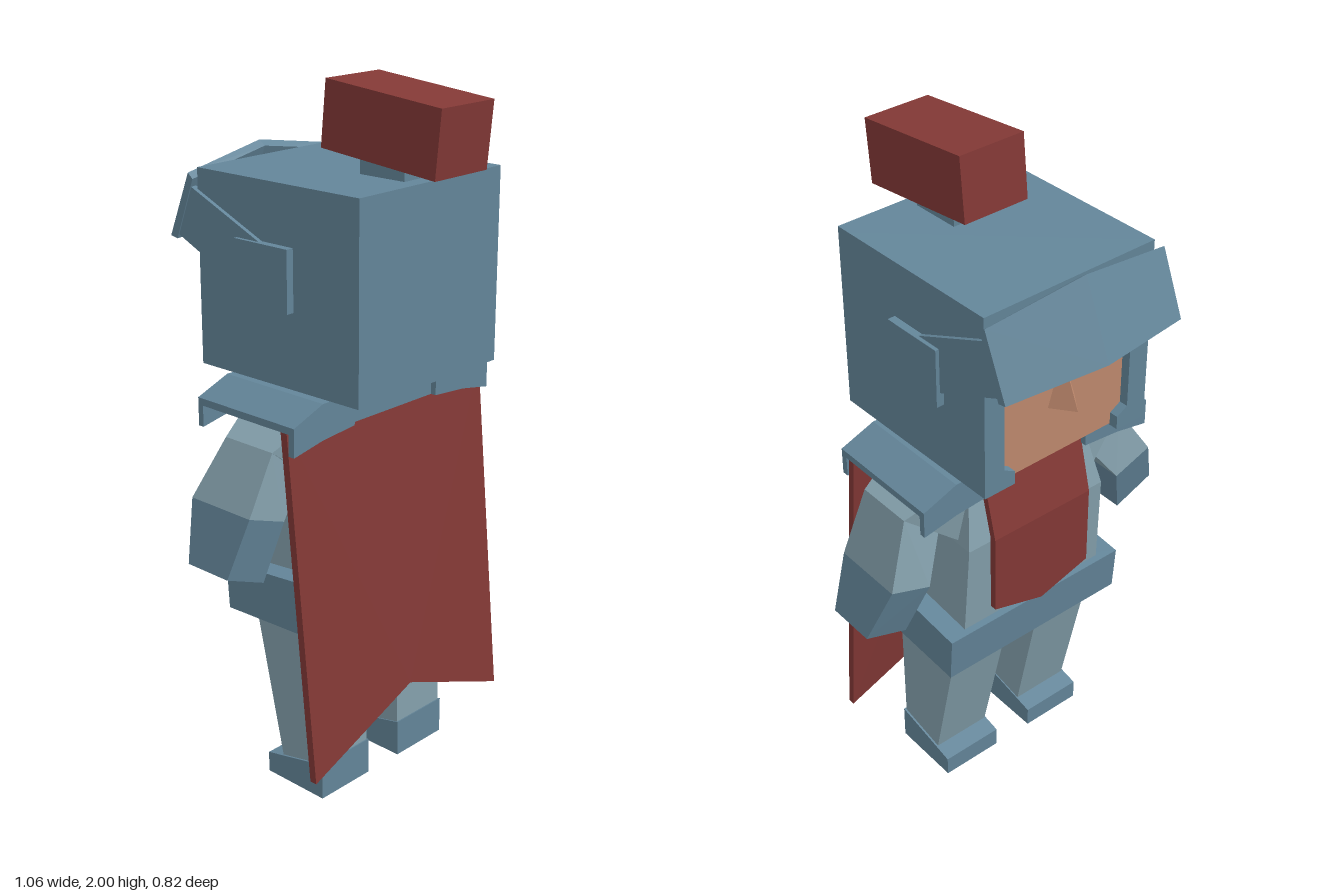
import * as THREE from 'three';
import { ConvexGeometry } from 'three/addons/geometries/ConvexGeometry.js';

const mat = (color) => new THREE.MeshStandardMaterial({ color, flatShading: true, side: THREE.DoubleSide });
const armour = mat(0x64869a), cloth = mat(0x86a2ae), red = mat(0x843936), skin = mat(0xc08a6e);

export function createModel() {
  const model = new THREE.Group();
  model.name = 'soldier';
  const body = new THREE.Group();
  body.name = 'body';
  body.position.x = 0.01;
  const head = new THREE.Group();
  head.name = 'head';
  head.position.x = 0.008;
  head.rotation.y = 0.015;
  model.add(body, head);

  const add = (parent, name, geometry, material) => {
    const mesh = new THREE.Mesh(geometry, material);
    mesh.name = name;
    parent.add(mesh);
    return mesh;
  };
  // Box given by its minimum and maximum corners
  const box = (parent, name, material, x0, x1, y0, y1, z0, z1) => {
    const mesh = add(parent, name, new THREE.BoxGeometry(x1 - x0, y1 - y0, z1 - z0), material);
    mesh.position.set((x0 + x1) / 2, (y0 + y1) / 2, (z0 + z1) / 2);
    return mesh;
  };
  // Faceted convex solid through corner points
  const hull = (parent, name, material, points) =>
    add(parent, name, new ConvexGeometry(points.map((p) => new THREE.Vector3(...p))), material);
  // Side profile of [z, y] points spanned from x0 to x1
  const slab = (x0, x1, profile) => [x0, x1].flatMap((x) => profile.map(([z, y]) => [x, y, z]));
  // Horizontal rectangle of corners
  const rect = (x0, x1, y, z0, z1) => [[x0, y, z0], [x1, y, z0], [x0, y, z1], [x1, y, z1]];
  // Arm section: outer and inner [x, y] points, each at both depths
  const section = (s, [ox, oy], [ix, iy], z0, z1) =>
    [[s * ox, oy, z0], [s * ox, oy, z1], [s * ix, iy, z0], [s * ix, iy, z1]];

  // Torso, neck, collar and belt
  hull(body, 'torso', cloth, [
    ...rect(-0.25, 0.25, 0.58, -0.14, 0.14),
    ...rect(-0.24, 0.24, 0.95, -0.16, 0.15),
    ...rect(-0.2, 0.2, 1.16, -0.11, 0.14),
  ]);
  box(body, 'neck', armour, -0.11, 0.11, 1.15, 1.24, -0.04, 0.08);
  box(body, 'collar', armour, -0.17, 0.17, 1.12, 1.19, -0.1, 0.175);
  hull(body, 'belt', armour, slab(-0.31, 0.31, [[0.19, 0.535], [0.165, 0.69], [-0.165, 0.66], [-0.155, 0.52]]));

  for (const s of [1, -1]) {
    const side = s > 0 ? 'left' : 'right';
    // Legs and feet
    hull(body, side + 'Leg', cloth, [
      ...rect(s * 0.06, s * 0.255, 0.6, -0.12, 0.15),
      ...rect(s * 0.068, s * 0.252, 0.05, 0, 0.152),
    ]);
    hull(body, side + 'Foot', armour,
      slab(s * 0.064, s * 0.258, [[0.157, 0], [0.157, 0.11], [0.0, 0.062], [-0.06, 0.062], [-0.06, 0]]));

    // Arms, the right one raised a little
    const lift = s > 0 ? 0 : 0.035, out = s > 0 ? 0 : 0.02;
    const shoulder = section(s, [0.22, 1.165], [0.2, 0.93], -0.12, 0.145);
    const upper = section(s, [0.385, 1.08], [0.27, 1.0], -0.07, 0.105);
    const wrist = section(s, [0.46 + out, 0.89 + lift], [0.335 + out, 0.845 + lift], -0.105, 0.115);
    const tip = section(s, [0.52 + out, 0.73 + lift], [0.39 + out, 0.685 + lift * 0.8], -0.06, 0.09);
    hull(body, side + 'Shoulder', cloth, [...shoulder, ...upper]);
    hull(body, side + 'Arm', cloth, [...upper, ...wrist]);
    hull(body, side + 'Hand', armour, [...wrist, ...tip]);

    // Shoulder guards: a bent top plate with hanging front and back flaps
    const guard = new THREE.Group();
    guard.name = side + 'ShoulderGuard';
    body.add(guard);
    const stations = [[0.165, 1.21, 1.12], [0.285, 1.21, 1.11], [0.392, 1.17, 1.09]];
    for (let i = 0; i < 2; i++) {
      const pair = stations.slice(i, i + 2);
      hull(guard, 'topPlate', armour, pair.flatMap(([x, y]) =>
        [[s * x, y, -0.165], [s * x, y, 0.19], [s * x, y - 0.02, -0.165], [s * x, y - 0.02, 0.19]]));
      for (const [z0, z1] of [[-0.168, -0.15], [0.172, 0.192]]) {
        hull(guard, 'flap', armour, pair.flatMap(([x, y, low]) =>
          [[s * x, y, z0], [s * x, y, z1], [s * x, low, z0], [s * x, low, z1]]));
      }
    }

    // Cape half, falling to an outer point with a notch at the centre
    const capeRow = (x, y) => {
      const z = 0.15 + (1.16 - y) * 0.115 - Math.max(0, 0.33 - y) * 0.1;
      return [[s * x, y, z - 0.009], [s * x, y, z + 0.013]];
    };
    hull(body, side + 'Cape', red,
      [...capeRow(0, 1.16), ...capeRow(0.39, 1.16), ...capeRow(0, 0.31), ...capeRow(0.39, 0.155)]);
  }

  // Chest cloth with a shallow pointed hem
  hull(body, 'chestClothTop', red, slab(-0.17, 0.17, [[-0.115, 1.17], [-0.135, 1.17], [-0.185, 0.97], [-0.165, 0.97]]));
  hull(body, 'chestClothFront', red, [-0.185, -0.165].flatMap((z) =>
    [[-0.17, 0.97, z], [0.17, 0.97, z], [-0.17, 0.72, z], [0.17, 0.72, z], [0, 0.67, z]]));

  // Helmet: shell open at the face, closed at the back
  const shell = new THREE.Shape([
    [-0.28, 1.22], [-0.18, 1.22], [-0.18, 1.26], [-0.215, 1.28], [-0.215, 1.65],
    [0.215, 1.65], [0.215, 1.28], [0.18, 1.26], [0.18, 1.22], [0.28, 1.22],
    [0.28, 1.76], [-0.28, 1.76],
  ].map(([x, y]) => new THREE.Vector2(x, y)));
  const shellGeometry = new THREE.ExtrudeGeometry(shell, { depth: 0.53, bevelEnabled: false });
  shellGeometry.translate(0, 0, -0.267);
  add(head, 'helmetShell', shellGeometry, armour);
  box(head, 'helmetBack', armour, -0.28, 0.28, 1.22, 1.76, 0.26, 0.305);
  box(head, 'face', skin, -0.225, 0.225, 1.225, 1.7, -0.24, 0.27);
  hull(head, 'nose', skin, [[0, 1.53, -0.238], [-0.05, 1.38, -0.235], [0.05, 1.38, -0.235], [0, 1.38, -0.303]]);

  // Raised visor with its side arms and hinges
  const visorMiddle = [[-0.295, 1.775], [-0.315, 1.79], [-0.405, 1.575], [-0.375, 1.567]];
  const visorEnd = [[-0.27, 1.73], [-0.287, 1.745], [-0.362, 1.565], [-0.337, 1.56]];
  for (const s of [1, -1]) {
    const side = s > 0 ? 'left' : 'right';
    hull(head, side + 'Visor', armour, [
      ...visorMiddle.map(([z, y]) => [0, y, z]),
      ...visorEnd.map(([z, y]) => [s * 0.295, y, z]),
    ]);
    hull(head, side + 'VisorArm', armour,
      slab(s * 0.272, s * 0.292, [[-0.03, 1.6], [-0.285, 1.71], [-0.34, 1.575], [-0.11, 1.47], [-0.02, 1.47]]));
    hull(head, side + 'Hinge', armour, slab(s * 0.27, s * 0.303, [[0.08, 1.43], [0.08, 1.6], [-0.11, 1.6], [-0.11, 1.43]]));
  }

  // Plume on a short stem
  box(head, 'plumeStem', armour, -0.06, 0.06, 1.75, 1.84, 0.11, 0.26);
  const plume = box(head, 'plume', red, -0.103, 0.103, 1.803, 1.983, 0.021, 0.403);
  plume.rotation.x = 0.096;

  return model;
}
